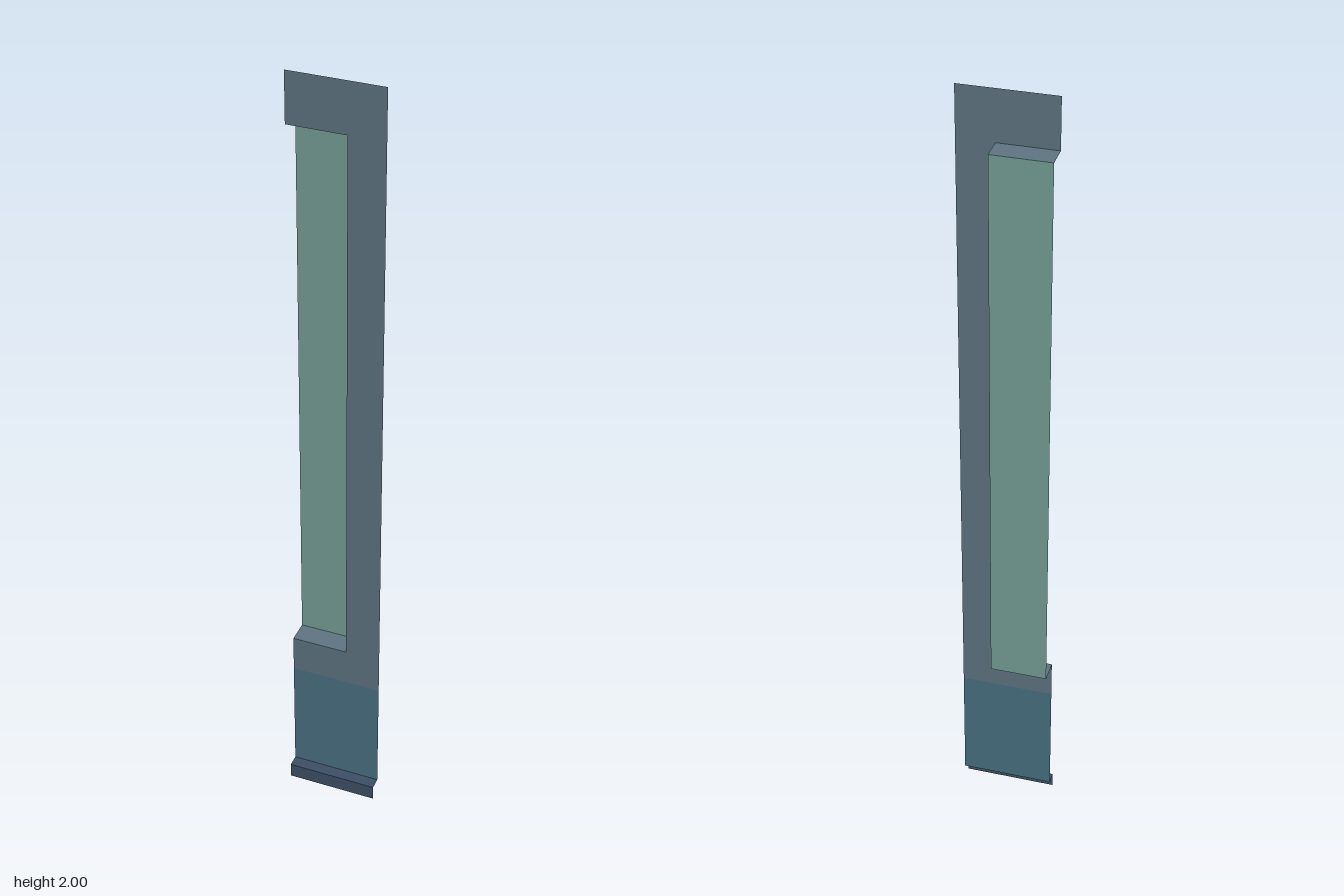
import * as THREE from 'three';

const HALF_W = 0.116, TOP = 2, BASE_Y = 0.04, BAND_Y = 0.35;
const WALL_Z = 0.013, GLASS_Z = -0.044, BASE_Z = 0.044;
const WIN = { x: 0.027, y0: 0.45, y1: 1.875 };

const makeMaterial = (color) => new THREE.MeshStandardMaterial({ color, side: THREE.DoubleSide });

export function createModel() {
  const group = new THREE.Group();
  const wallMat = makeMaterial(0x5f7583);
  const bandMat = makeMaterial(0x4a7182);
  const glassMat = makeMaterial(0x76a096);
  const baseMat = makeMaterial(0x3e5068);

  const add = (name, geometry, material) => {
    const mesh = new THREE.Mesh(geometry, material);
    mesh.name = name;
    group.add(mesh);
  };
  // Upright sheet facing +z
  const upright = (x0, x1, y0, y1, z) =>
    new THREE.PlaneGeometry(x1 - x0, y1 - y0).translate((x0 + x1) / 2, (y0 + y1) / 2, z);
  // Level sheet facing up (1) or down (-1)
  const level = (x0, x1, y, z0, z1, facing) =>
    new THREE.PlaneGeometry(x1 - x0, z1 - z0)
      .rotateX(-facing * Math.PI / 2).translate((x0 + x1) / 2, y, (z0 + z1) / 2);

  // Wall sheet, notched for the window that runs off its -x edge
  const wall = new THREE.Shape([
    [-HALF_W, BAND_Y], [HALF_W, BAND_Y], [HALF_W, TOP], [-HALF_W, TOP],
    [-HALF_W, WIN.y1], [WIN.x, WIN.y1], [WIN.x, WIN.y0], [-HALF_W, WIN.y0],
  ].map(([x, y]) => new THREE.Vector2(x, y)));
  add('wall', new THREE.ShapeGeometry(wall).translate(0, 0, WALL_Z), wallMat);
  add('lowerBand', upright(-HALF_W, HALF_W, BASE_Y, BAND_Y, WALL_Z), bandMat);

  // Recessed window pane and its reveals, open at the -x end
  add('windowPane', upright(-HALF_W, WIN.x, WIN.y0, WIN.y1, GLASS_Z), glassMat);
  add('windowSill', level(-HALF_W, WIN.x, WIN.y0, GLASS_Z, WALL_Z, 1), wallMat);
  add('windowHead', level(-HALF_W, WIN.x, WIN.y1, GLASS_Z, WALL_Z, -1), wallMat);
  add('windowJamb', new THREE.PlaneGeometry(WALL_Z - GLASS_Z, WIN.y1 - WIN.y0)
    .rotateY(-Math.PI / 2)
    .translate(WIN.x, (WIN.y0 + WIN.y1) / 2, (WALL_Z + GLASS_Z) / 2), wallMat);

  // Projecting skirting: a top ledge and a front face
  add('skirtingLedge', level(-HALF_W, HALF_W, BASE_Y, WALL_Z, BASE_Z, 1), baseMat);
  add('skirtingFace', upright(-HALF_W, HALF_W, 0, BASE_Y, BASE_Z), baseMat);

  return group;
}
